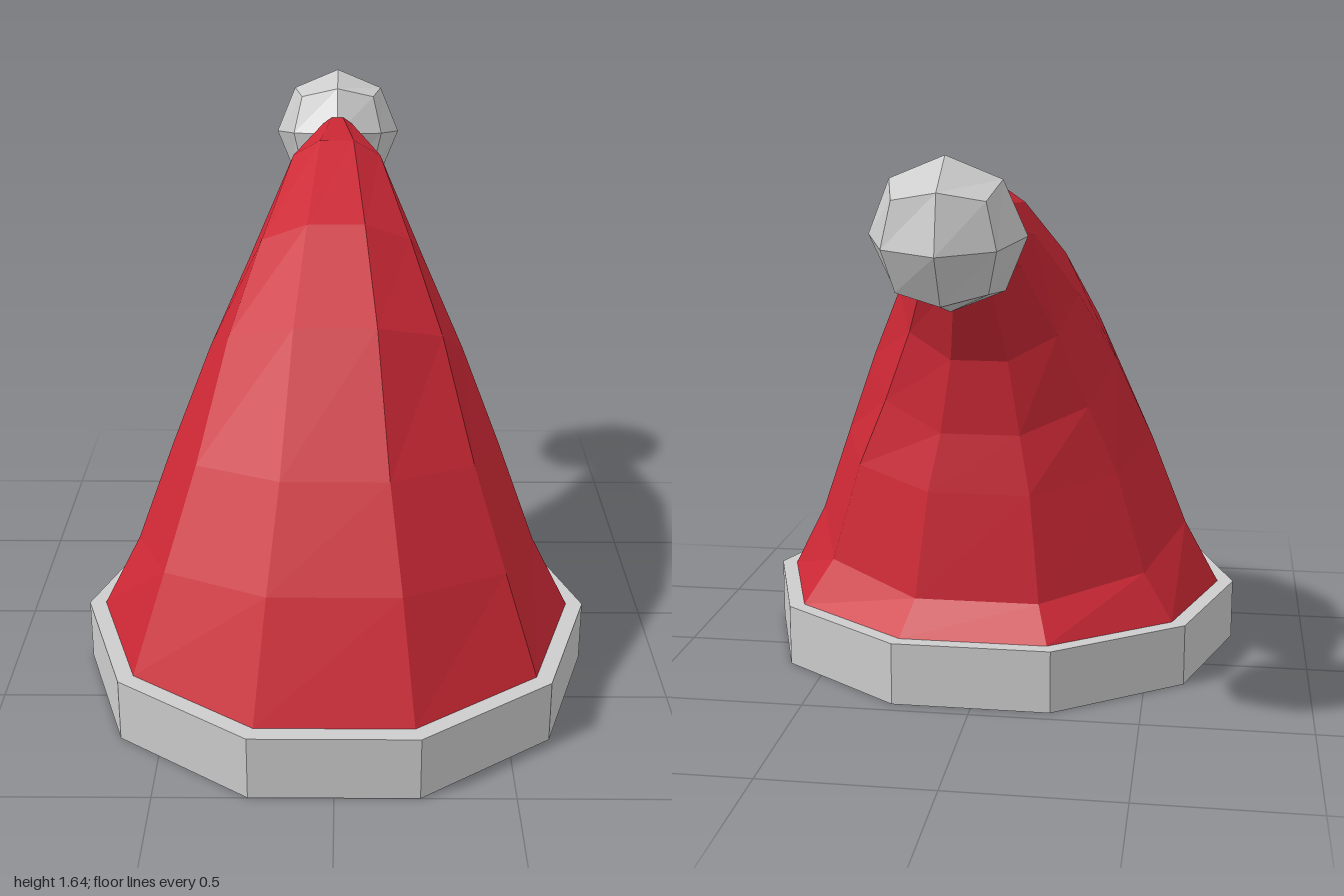
import * as THREE from 'three';

const SIDES = 10;

// Split faces apart so that every facet gets its own flat normal
function faceted(geometry) {
  const g = geometry.index ? geometry.toNonIndexed() : geometry;
  g.computeVertexNormals();
  return g;
}

function addPart(group, name, geometry, material) {
  const mesh = new THREE.Mesh(faceted(geometry), material);
  mesh.name = name;
  group.add(mesh);
  return mesh;
}

// Ten-sided loft: each ring is [front z, front y, back z, back y, radius]
function loft(rings) {
  const pos = [];
  const index = [];
  const edge = Math.sin(0.4 * Math.PI);
  for (const [fz, fy, bz, by, r] of rings) {
    for (let j = 0; j < SIDES; j++) {
      const a = (j / SIDES) * Math.PI * 2;
      const s = Math.sin(a) / edge / 2;
      pos.push(r * Math.cos(a), (fy + by) / 2 + (fy - by) * s, (fz + bz) / 2 + (fz - bz) * s);
    }
  }
  for (let i = 0; i < rings.length - 1; i++) {
    for (let j = 0; j < SIDES; j++) {
      const k = (j + 1) % SIDES;
      const a = i * SIDES + j, b = i * SIDES + k;
      index.push(a, a + SIDES, b, b, a + SIDES, b + SIDES);
    }
  }
  // Close the tip
  const last = (rings.length - 1) * SIDES;
  for (let j = 1; j < SIDES - 1; j++) index.push(last, last + j + 1, last + j);
  const g = new THREE.BufferGeometry();
  g.setAttribute('position', new THREE.Float32BufferAttribute(pos, 3));
  g.setIndex(index);
  return g;
}

export function createModel() {
  const red = new THREE.MeshStandardMaterial({ color: 0xcc2835 });
  red.name = 'red felt';
  const white = new THREE.MeshStandardMaterial({ color: 0xcccccc });
  white.name = 'white fur';

  const hat = new THREE.Group();
  hat.name = 'hat';

  // Bent, tapering cone drooping towards the back
  addPart(hat, 'cone', loft([
    [0.95, 0.19, -0.41, 0.19, 0.715],
    [0.80, 0.51, -0.33, 0.29, 0.605],
    [0.635, 0.78, -0.285, 0.61, 0.495],
    [0.385, 1.14, -0.255, 0.785, 0.385],
    [0.115, 1.365, -0.265, 1.01, 0.275],
    [-0.25, 1.53, -0.40, 1.25, 0.168],
    [-0.62, 1.52, -0.615, 1.41, 0.06],
  ]), red);

  // Brim band with its inner wall and the hollow lining above it
  const profile = [[0, 0.9], [0.7, 0.19], [0.7, 0], [0.765, 0], [0.765, 0.19], [0.7, 0.19]]
    .map(([r, y]) => new THREE.Vector2(r, y));
  const band = addPart(hat, 'brimAndLining',
    new THREE.LatheGeometry(profile, SIDES, Math.PI / SIDES), white);
  band.position.z = 0.2725;

  // Pompom: a 2x2 divided cube pushed out to a sphere
  const ball = new THREE.BoxGeometry(1, 1, 1, 2, 2, 2);
  const p = ball.attributes.position;
  const v = new THREE.Vector3();
  for (let i = 0; i < p.count; i++) {
    v.fromBufferAttribute(p, i).setLength(0.207);
    p.setXYZ(i, v.x, v.y, v.z);
  }
  const pompom = addPart(hat, 'pompom', ball, white);
  pompom.position.set(0, 1.435, -0.797);
  pompom.rotation.x = -0.17;

  return hat;
}
